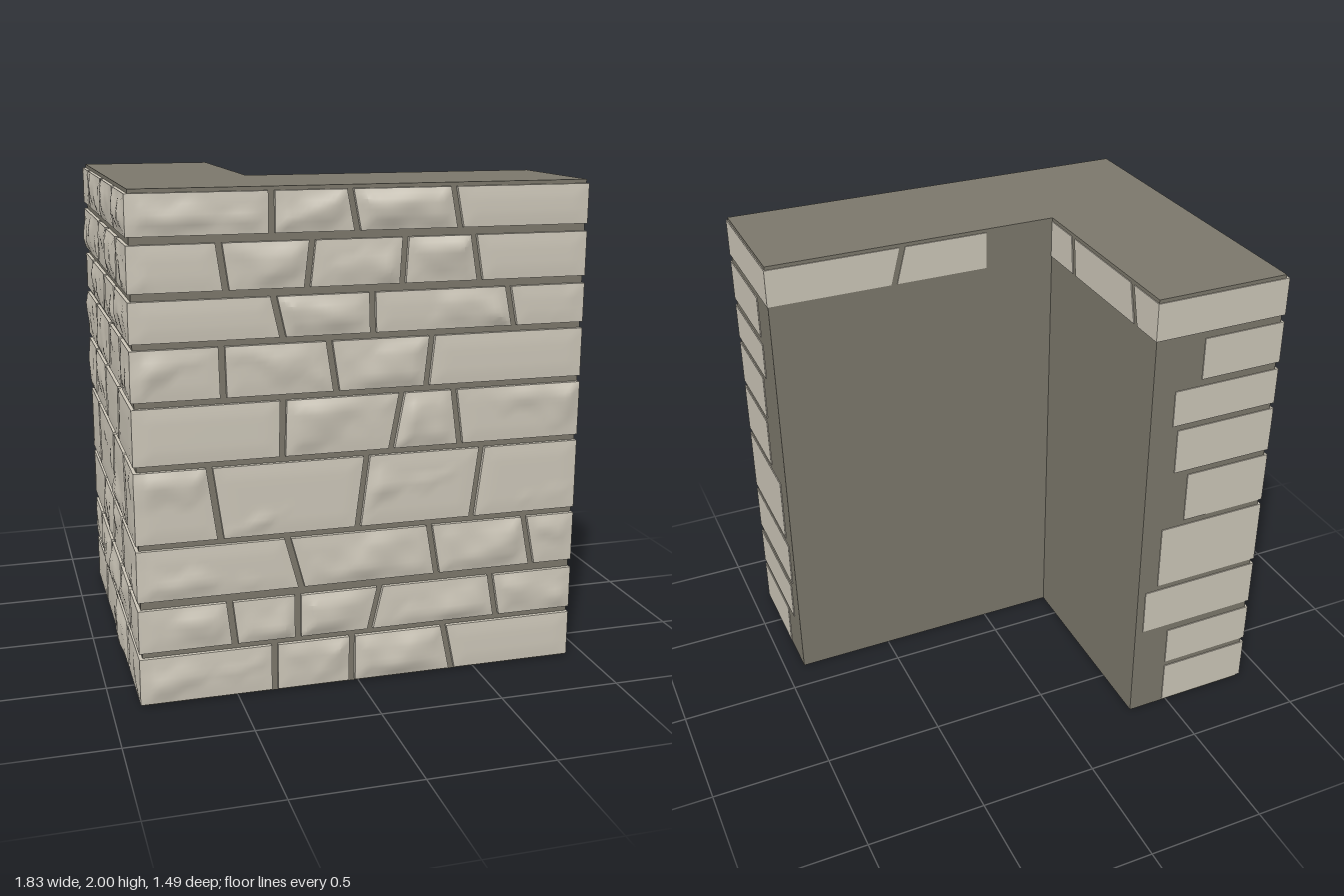
import * as THREE from 'three';
import { toCreasedNormals } from 'three/addons/utils/BufferGeometryUtils.js';

// Outline of the L-shaped wall in plan (x, z), walked so the outside is on one side
const PLAN = [[-0.32, 0.13], [0.915, 0.13], [0.915, 0.69], [-0.875, 0.69], [-0.875, -0.75], [-0.32, -0.75], [-0.32, 0.13]];
const ROUGH = [0, 0, 1, 0.85, 0, 0]; // hewn faces: front and left; the others are sawn flat
const FLAT = 0.004;
const START = [0];
const SIDES = PLAN.slice(0, -1).map(([x, z], i) => {
  const dx = PLAN[i + 1][0] - x, dz = PLAN[i + 1][1] - z, len = Math.hypot(dx, dz);
  START.push(START[i] + len);
  return { x, z, dx: dx / len, dz: dz / len };
});

// Distances along the outline for points on each face
const onFront = x => START[2] + 0.915 - x;
const onLeft = z => START[3] + 0.69 - z;
const onArmEnd = z => START[1] + z - 0.13;
const onLegEnd = x => START[4] + x + 0.875;

// Courses: y range, arm end depth, leg end width, joints [bottom, top] on front (x) and left (z)
const COURSES = [
  { y: [0.01, 0.2], arm: 0.32, leg: -0.48, front: [[-0.35, -0.35], [-0.03, -0.03], [0.4, 0.36]], left: [[0.36, 0.34], [0.02, 0], [-0.4, -0.37]] },
  { y: [0.225, 0.4], arm: 0.22, leg: -0.48, front: [[-0.51, -0.53], [-0.255, -0.255], [0.045, 0.085], [0.59, 0.56]], left: [[0.48, 0.45], [0.16, 0.18], [-0.15, -0.12], [-0.5, -0.52]] },
  { y: [0.435, 0.64], arm: 0.19, leg: -0.355, front: [[-0.24, -0.295], [0.325, 0.29], [0.74, 0.7]], left: [[0.32, 0.28], [0, 0.03], [-0.33, -0.3]] },
  { y: [0.665, 0.95], arm: 0.225, leg: -0.41, front: [[-0.56, -0.6], [-0.01, 0.025], [0.47, 0.505]], left: [[0.46, 0.42], [0.06, 0.1], [-0.42, -0.45]] },
  { y: [0.975, 1.195], arm: 0.35, leg: -0.51, front: [[-0.315, -0.31], [0.125, 0.165], [0.41, 0.38]], left: [[0.3, 0.32], [-0.08, -0.11], [-0.5, -0.46]] },
  { y: [1.22, 1.415], arm: 0.335, leg: -0.445, front: [[-0.54, -0.545], [-0.1, -0.13], [0.265, 0.285]], left: [[0.45, 0.42], [0.08, 0.1], [-0.36, -0.38]] },
  { y: [1.44, 1.595], arm: 0.28, leg: -0.42, front: [[-0.31, -0.345], [0.045, 0.04], [0.625, 0.595]], left: [[0.33, 0.3], [-0.05, -0.02], [-0.45, -0.47]] },
  { y: [1.625, 1.8], arm: 0.295, leg: -0.535, front: [[-0.525, -0.55], [-0.215, -0.195], [0.16, 0.17], [0.475, 0.445]], left: [[0.4, 0.42], [0.12, 0.1], [-0.2, -0.17]] },
  { y: [1.83, 1.985], front: [[-0.35, -0.35], [-0.02, -0.05], [0.39, 0.36]], left: [[0.37, 0.35], [-0.05, -0.03], [-0.5, -0.53]] },
];

let seed = 7;
const random = () => (seed = (seed * 16807) % 2147483647) / 2147483647;
const lerp = THREE.MathUtils.lerp;

// Chipped relief of one stone: the lowest of several tilted planes plus a light ripple
function makeRelief(u0, u1, y0, y1) {
  const planes = [];
  const count = Math.ceil(3 + (u1 - u0) * 7);
  for (let i = 0; i < count; i++) {
    planes.push({
      u: lerp(u0, u1, random()), y: lerp(y0, y1, random()), h: 0.034 + random() * 0.014,
      a: (random() - 0.5) * 0.16, b: (random() - 0.5) * 0.4,
    });
  }
  const phase = random() * 6;
  return (u, y, edge) => {
    let h = 0.05;
    for (const p of planes) h = Math.min(h, p.h + p.a * (u - p.u) + p.b * (y - p.y));
    h += 0.003 * Math.sin(u * 23 + y * 17 + phase) + 0.002 * Math.sin(u * 41 - y * 33 + phase * 2);
    const rise = THREE.MathUtils.smoothstep(edge, -0.01, 0.055);
    return lerp(0.016, Math.max(h, 0.02), rise);
  };
}

// A stone wraps along the outline between two slanted joints, folding at the corners
function makeStone(jointA, jointB, y0, y1) {
  const gap = 0.013;
  const a = jointA.map(u => u + gap), b = jointB.map(u => u - gap);
  const relief = makeRelief(a[0], b[0], y0, y1);
  const folds = START.filter(s => s > Math.max(...a) + 0.01 && s < Math.min(...b) - 0.01);
  const rows = Math.ceil((y1 - y0) / 0.022);
  const mids = [(a[0] + a[1]) / 2, ...folds, (b[0] + b[1]) / 2];

  // Columns: which side of the outline, position between breaks, and buried rim at both ends
  const columns = [{ k: 0, t: 0, rim: true }];
  for (let k = 0; k < mids.length - 1; k++) {
    const n = Math.ceil((mids[k + 1] - mids[k]) / 0.022);
    for (let i = k ? 1 : 0; i <= n; i++) columns.push({ k, t: i / n });
  }
  columns.push({ k: mids.length - 2, t: 1, rim: true });

  const positions = [], index = [];
  for (let r = -1; r <= rows + 1; r++) {
    const v = THREE.MathUtils.clamp(r / rows, 0, 1), y = lerp(y0, y1, v);
    const breaks = [lerp(a[0], a[1], v), ...folds, lerp(b[0], b[1], v)];
    const ends = [...breaks];
    for (const { k, t, rim } of columns) {
      const u = lerp(breaks[k], breaks[k + 1], t);
      const edge = Math.min(y - y0, y1 - y, ...ends.map(e => Math.abs(u - e)));
      const buried = rim || r < 0 || r > rows;
      const mid = lerp(mids[k], mids[k + 1], 0.5);
      const s = START.findIndex((start, i) => mid >= start && mid < START[i + 1]);
      const push = i => buried ? -0.02 : ROUGH[i] ? ROUGH[i] * relief(u, y, edge) : FLAT;
      const side = SIDES[s], d = u - START[s], h = push(s);
      let x = side.x + side.dx * d + side.dz * h, z = side.z + side.dz * d - side.dx * h;
      if (t === 1 && k < mids.length - 2) { // fold: push out along both faces
        const next = SIDES[s + 1], h2 = push(s + 1);
        x += next.dz * h2;
        z -= next.dx * h2;
      }
      positions.push(x, y, z);
    }
  }
  const w = columns.length;
  for (let r = 0; r < rows + 2; r++) {
    for (let c = 0; c < w - 1; c++) {
      const p = r * w + c;
      index.push(p, p + w, p + 1, p + 1, p + w, p + w + 1);
    }
  }
  const geometry = new THREE.BufferGeometry();
  geometry.setAttribute('position', new THREE.Float32BufferAttribute(positions, 3));
  geometry.setIndex(index);
  return toCreasedNormals(geometry, 0.6);
}

export function createModel() {
  const model = new THREE.Group();
  model.name = 'cornerStoneWall';
  const mortar = new THREE.MeshStandardMaterial({ name: 'mortar grey', color: 0x7b776b });
  const stone = new THREE.MeshStandardMaterial({ name: 'pale stone', color: 0xccc6b8 });

  // Solid core
  const plan = new THREE.Shape(PLAN.slice(0, -1).map(([x, z]) => new THREE.Vector2(x, -z)));
  const core = new THREE.Mesh(new THREE.ExtrudeGeometry(plan, { depth: 2, bevelEnabled: false }).rotateX(-Math.PI / 2), mortar);
  core.name = 'wallCore';
  model.add(core);

  // Stone courses
  COURSES.forEach((course, i) => {
    const group = new THREE.Group();
    group.name = `stoneCourse${i + 1}`;
    const joints = [
      ...[...course.front].reverse().map(j => j.map(onFront)),
      ...course.left.map(j => j.map(onLeft)),
    ];
    if (course.arm !== undefined) {
      const first = onArmEnd(course.arm) - 0.013, last = onLegEnd(course.leg) + 0.013;
      joints.unshift([first, first]);
      joints.push([last, last]);
    } else { // the top course also runs around the inner faces
      joints.unshift([0.29, 0.29], [0.71, 0.67]);
      joints.push([5.735, 5.775], [6.245, 6.265], [6.47, 6.47]);
    }
    for (let j = 0; j < joints.length - 1; j++) {
      const mesh = new THREE.Mesh(makeStone(joints[j], joints[j + 1], ...course.y), stone);
      mesh.name = `stone${j + 1}`;
      group.add(mesh);
    }
    model.add(group);
  });
  return model;
}
